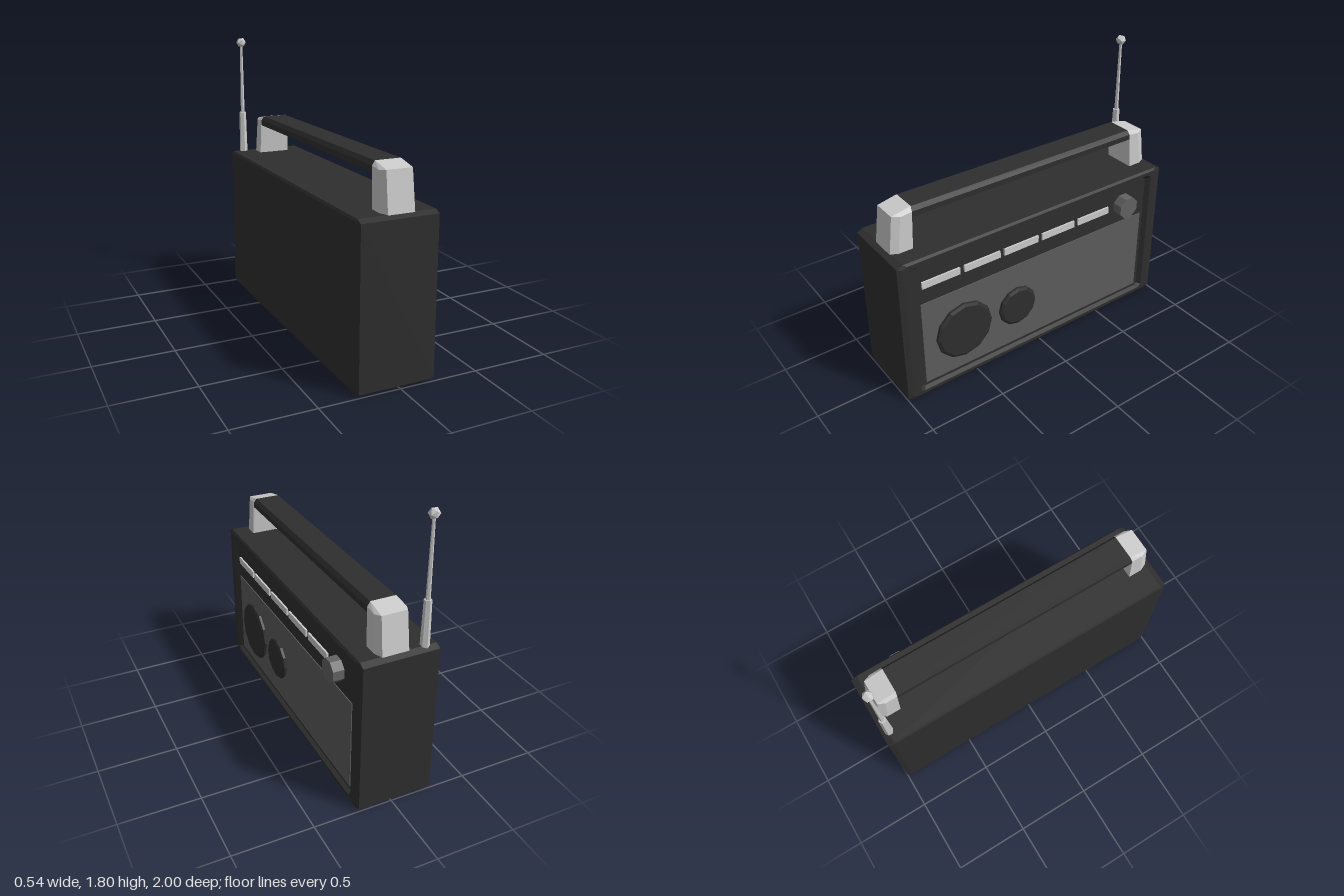
import * as THREE from 'three';
import { ConvexGeometry } from 'three/addons/geometries/ConvexGeometry.js';

const material = (color) => new THREE.MeshStandardMaterial({ color, flatShading: true });
const grey = material(0xcccccc);
const dark = material(0x2e2e2e);
const panelGrey = material(0x5c5c5c);
const knobGrey = material(0x636363);

function add(parent, name, geometry, mat, x = 0, y = 0, z = 0) {
  const mesh = new THREE.Mesh(geometry, mat);
  mesh.name = name;
  mesh.position.set(x, y, z);
  parent.add(mesh);
  return mesh;
}

// Rectangle with cut corners, facing +x
function ring([x, halfZ, y0, y1, cutZ, cutY]) {
  const a = halfZ - cutZ, b = y0 + cutY, c = y1 - cutY;
  return [[a, y0], [-a, y0], [-halfZ, b], [-halfZ, c], [-a, y1], [a, y1], [halfZ, c], [halfZ, b]]
    .map(([z, y]) => [x, y, z]);
}

// Skin a row of rings along x and close both ends
function loft(sections) {
  const rings = sections.map(ring), n = 8, pos = [];
  const tri = (...pts) => pts.forEach((p) => pos.push(...p));
  for (let r = 0; r < rings.length - 1; r++) {
    const a = rings[r], b = rings[r + 1];
    for (let i = 0; i < n; i++) {
      const j = (i + 1) % n;
      tri(a[i], a[j], b[j]);
      tri(a[i], b[j], b[i]);
    }
  }
  const first = rings[0], last = rings[rings.length - 1];
  for (let i = 1; i < n - 1; i++) {
    tri(first[0], first[i + 1], first[i]);
    tri(last[0], last[i], last[i + 1]);
  }
  const g = new THREE.BufferGeometry();
  g.setAttribute('position', new THREE.Float32BufferAttribute(pos, 3));
  g.computeVertexNormals();
  return g;
}

// Short cylinder whose axis points along +x
function disc(frontRadius, backRadius, depth, sides, turn = 0) {
  return new THREE.CylinderGeometry(frontRadius, backRadius, depth, sides)
    .rotateY(turn).rotateZ(-Math.PI / 2);
}

export function createModel() {
  const radio = new THREE.Group();
  radio.name = 'portableRadio';

  // Case with bevelled edges and a shallow recess in the dial side
  add(radio, 'case', loft([
    [-0.27, 0.97, 0.02, 0.985, 0.03, 0.015],
    [-0.26, 1, 0, 1, 0.04, 0.018],
    [0.215, 1, 0, 1, 0.04, 0.018],
    [0.225, 0.965, 0.018, 0.985, 0.03, 0.015],
    [0.225, 0.917, 0.038, 0.963, 0.03, 0.02],
    [0.2, 0.89, 0.05, 0.943, 0.02, 0.015],
  ]), dark);

  // Speaker panel
  add(radio, 'speakerPanel', new THREE.BoxGeometry(0.02, 0.595, 1.726), panelGrey, 0.196, 0.3725, 0);

  // Speakers with bevelled rims
  for (const [name, z, r] of [['largeSpeaker', 0.58, 0.198], ['smallSpeaker', 0.18, 0.138]]) {
    const speaker = new THREE.Group();
    speaker.name = name;
    speaker.position.set(0, 0.363, z);
    add(speaker, 'speakerRim', disc(r, r, 0.025, 12), dark, 0.21);
    add(speaker, 'speakerFace', disc(r - 0.018, r, 0.01, 12), dark, 0.2275);
    radio.add(speaker);
  }

  // Row of band buttons
  for (let i = 0; i < 5; i++) {
    add(radio, 'bandButton', new THREE.BoxGeometry(0.03, 0.046, 0.258), grey, 0.197, 0.803, 0.718 - i * 0.288);
  }

  // Tuning knob
  add(radio, 'tuningKnob', disc(0.077, 0.077, 0.08, 8, Math.PI / 8), knobGrey, 0.23, 0.803, -0.69);

  // Handle: two tapered posts and a chamfered grip
  const post = [];
  const grip = [];
  for (const s of [-1, 1]) {
    post.push(
      [0.105 * s, 0.99, 0.83], [0.105 * s, 0.99, 0.92], [0.083 * s, 0.99, 0.967],
      [0.1 * s, 1.19, 0.83], [0.1 * s, 1.235, 0.815], [0.1 * s, 1.228, 0.89],
      [0.08 * s, 1.235, 0.935], [0.08 * s, 1.262, 0.81],
    );
    for (const e of [-1, 1]) {
      grip.push([0.08 * s, 1.19, 0.832 * e], [0.098 * s, 1.2, 0.828 * e],
        [0.098 * s, 1.235, 0.817 * e], [0.08 * s, 1.261, 0.81 * e]);
    }
  }
  const hull = (pts) => new ConvexGeometry(pts.map((p) => new THREE.Vector3(...p)));
  add(radio, 'handleGrip', hull(grip), dark);
  for (const e of [-1, 1]) {
    add(radio, 'handlePost', hull(post.map(([x, y, z]) => [x, y, z * e])), grey);
  }

  // Telescopic antenna
  const antenna = new THREE.Group();
  antenna.name = 'antenna';
  antenna.position.set(-0.188, 0, -0.953);
  add(antenna, 'antennaBase', new THREE.CylinderGeometry(0.023, 0.028, 0.29, 6), grey, 0, 1.135, 0);
  add(antenna, 'antennaRod', new THREE.CylinderGeometry(0.009, 0.014, 0.48, 6), grey, 0, 1.51, 0);
  add(antenna, 'antennaTip', new THREE.IcosahedronGeometry(0.034, 0), grey, 0, 1.77, 0);
  radio.add(antenna);

  return radio;
}
